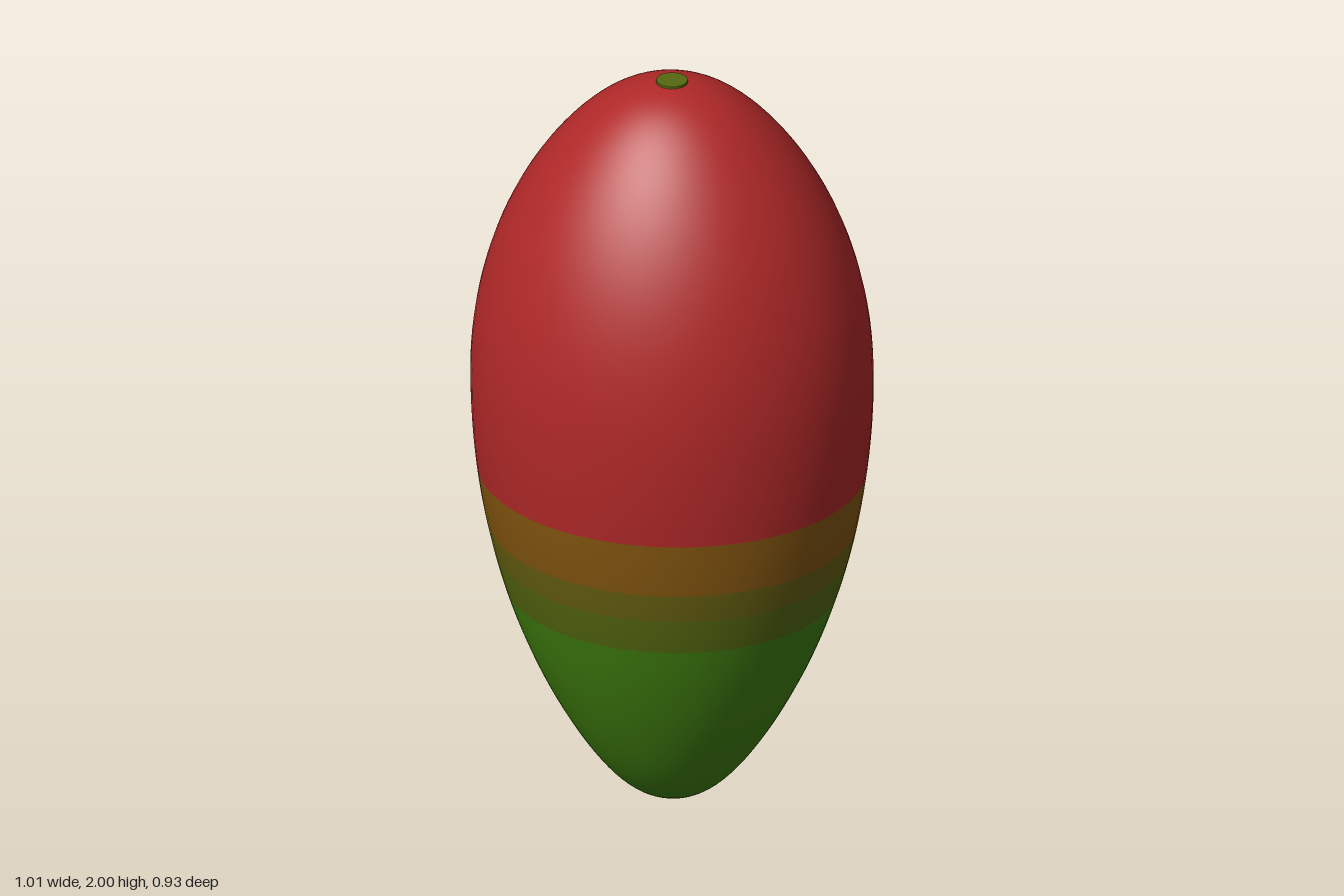
import * as THREE from 'three';

const TOP = 1.997, BELLY = 1.18, RADIUS = 0.505, DEPTH = 0.92;

const mat = (name, color) => {
  const m = new THREE.MeshStandardMaterial({ color });
  m.name = name;
  return m;
};

// Radius of the fruit at height y: rounded top, narrower lower end
function radiusAt(y) {
  const low = y < BELLY;
  const t = Math.min(1, low ? (BELLY - y) / BELLY : (y - BELLY) / (TOP - BELLY));
  const power = low ? 0.65 - 0.12 * t ** 8 : 0.57 - 0.07 * t ** 8;
  return RADIUS * Math.max(0, 1 - t * t) ** power;
}

// One coloured zone of skin; heights bunch up towards the two poles
function skinBand(name, y0, y1, material) {
  const angle = (y) => Math.acos(1 - (2 * y) / TOP);
  const a0 = angle(y0), a1 = angle(y1);
  const steps = Math.max(6, Math.ceil((a1 - a0) * 24));
  const points = [];
  for (let i = 0; i <= steps; i++) {
    const y = (TOP * (1 - Math.cos(a0 + ((a1 - a0) * i) / steps))) / 2;
    points.push(new THREE.Vector2(radiusAt(y), y));
  }
  const mesh = new THREE.Mesh(new THREE.LatheGeometry(points, 72), material);
  mesh.scale.z = DEPTH;
  mesh.name = name;
  return mesh;
}

export function createModel() {
  const group = new THREE.Group();
  group.name = 'fruit';
  const olive = mat('olive', 0x55680f);

  // Skin ripening from green tip to red crown
  group.add(
    skinBand('greenTip', 0, 0.59, mat('green', 0x40800e)),
    skinBand('oliveBand', 0.59, 0.69, olive),
    skinBand('oliveBrownBand', 0.69, 0.77, mat('oliveBrown', 0x665f10)),
    skinBand('brownBand', 0.77, 0.92, mat('brown', 0x84560f)),
    skinBand('redCrown', 0.92, TOP, mat('red', 0xb02828)),
  );

  // Small stem scar on top
  const stem = new THREE.Mesh(new THREE.CylinderGeometry(0.04, 0.04, 0.016, 14), olive);
  stem.position.y = 1.992;
  stem.name = 'stemScar';
  group.add(stem);
  return group;
}
